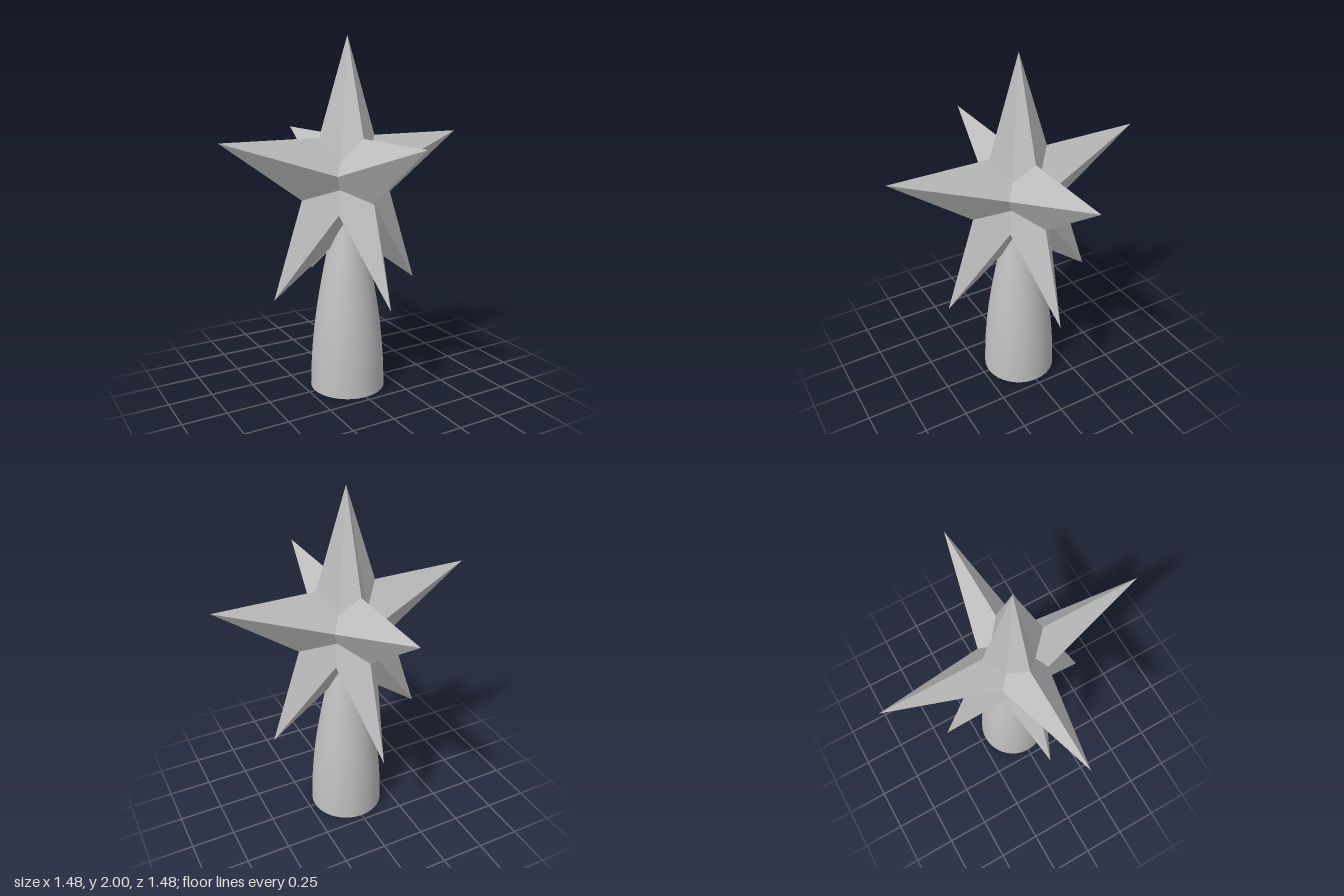
import * as THREE from 'three';
import { toCreasedNormals } from 'three/addons/utils/BufferGeometryUtils.js';

const CENTRE_Y = 1.22;
const OUTER = 0.78;
const INNER = OUTER * 0.382;
const DEPTH = 0.168;

// Faceted five-pointed star: a zigzag outline joined to a front and a back apex
function starGeometry() {
  const outline = [];
  for (let i = 0; i < 10; i++) {
    const a = Math.PI / 2 + (i * Math.PI) / 5;
    const r = i % 2 ? INNER : OUTER;
    outline.push([r * Math.cos(a), r * Math.sin(a), 0]);
  }
  const pos = [];
  outline.forEach((p, i) => {
    const q = outline[(i + 1) % 10];
    pos.push(...p, ...q, 0, 0, DEPTH);
    pos.push(...q, ...p, 0, 0, -DEPTH);
  });
  const g = new THREE.BufferGeometry();
  g.setAttribute('position', new THREE.Float32BufferAttribute(pos, 3));
  g.computeVertexNormals();
  return g;
}

// Hollow-ended tapering socket: cavity, rim, then a smooth outer wall
function socketGeometry() {
  const wall = new THREE.SplineCurve([
    [0.215, 0], [0.207, 0.2], [0.185, 0.42], [0.15, 0.64], [0.104, 0.88], [0.065, 1.08],
  ].map(([x, y]) => new THREE.Vector2(x, y))).getPoints(24);
  const cavity = [[0, 0.17], [0.176, 0.17], [0.176, 0]].map(([x, y]) => new THREE.Vector2(x, y));
  const profile = [...cavity, ...wall, new THREE.Vector2(0, 1.1)];
  return toCreasedNormals(new THREE.LatheGeometry(profile, 64), 0.6);
}

export function createModel() {
  const model = new THREE.Group();
  model.name = 'starTreeTopper';
  const grey = new THREE.MeshStandardMaterial({ name: 'plain grey', color: 0xc0c0c0 });

  // Two identical stars crossing at right angles
  const star = starGeometry();
  ['frontStar', 'sideStar'].forEach((name, i) => {
    const mesh = new THREE.Mesh(star, grey);
    mesh.name = name;
    mesh.position.y = CENTRE_Y;
    mesh.rotation.y = (i * Math.PI) / 2;
    model.add(mesh);
  });

  // Socket below the stars
  const socket = new THREE.Mesh(socketGeometry(), grey);
  socket.name = 'socket';
  model.add(socket);

  return model;
}
